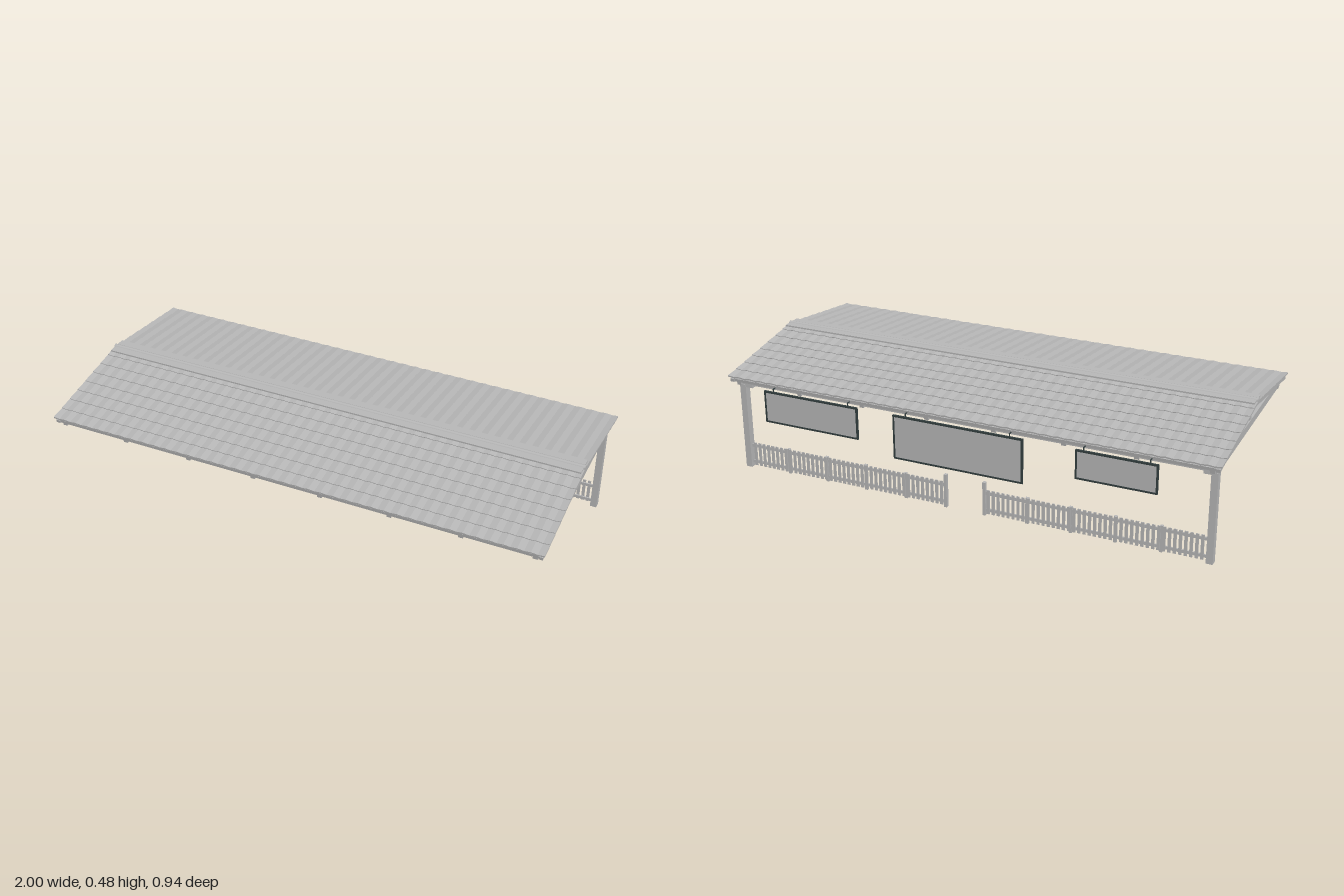
import * as THREE from 'three';

export function createModel() {
  const model = new THREE.Group();
  const mat = (name, color) => {
    const m = new THREE.MeshStandardMaterial({ color });
    m.name = name;
    return m;
  };
  const grey = mat('light grey', 0xb8b8b8);
  const dark = mat('dark frame', 0x333f40);

  const add = (parent, name, geo, x, y, z, material = grey) => {
    const mesh = new THREE.Mesh(geo, material);
    mesh.name = name;
    mesh.position.set(x, y, z);
    parent.add(mesh);
    return mesh;
  };
  const box = (parent, name, w, h, d, x, y, z, material) =>
    add(parent, name, new THREE.BoxGeometry(w, h, d), x, y, z, material);
  const group = (parent, name) => {
    const g = new THREE.Group();
    g.name = name;
    parent.add(g);
    return g;
  };

  const ridgeZ = 0.008, ridgeY = 0.477, pitch = 0.141, slopeLength = 0.466;

  // One course of gently waved tiles, as a cross-section swept down the slope
  const courses = 8, courseLength = slopeLength / courses;
  const tileShape = new THREE.Shape();
  const steps = 160;
  const wave = i => 0.0014 * Math.cos((i / 4) * Math.PI * 2);
  for (let i = 0; i <= steps; i++) {
    const x = -1 + (2 * i) / steps;
    if (i === 0) tileShape.moveTo(x, -0.008 + wave(i));
    else tileShape.lineTo(x, -0.008 + wave(i));
  }
  for (let i = steps; i >= 0; i--) tileShape.lineTo(-1 + (2 * i) / steps, -0.002 + wave(i));
  const tileGeo = new THREE.ExtrudeGeometry(tileShape, { depth: courseLength + 0.002, bevelEnabled: false });

  // Two mirrored roof slopes
  for (const turn of [0, Math.PI]) {
    const side = group(model, turn ? 'backRoof' : 'frontRoof');
    side.position.set(0, ridgeY, ridgeZ);
    side.rotation.y = turn;
    const slope = group(side, 'slope');
    slope.rotation.x = pitch;

    for (let i = 0; i < courses; i++) {
      const course = add(slope, 'tileCourse', tileGeo, 0, -0.003, i * courseLength);
      course.rotation.x = -0.05;
    }
    // Battens, verge boards and eave board below the tiles
    for (let i = 0; i < 7; i++)
      box(slope, 'batten', 1.97, 0.005, 0.01, 0, -0.014, 0.03 + i * 0.069);
    for (const s of [-1, 1])
      box(slope, 'vergeBoard', 0.016, 0.013, slopeLength, s * 0.985, -0.021, slopeLength / 2);
    box(slope, 'eaveBoard', 1.97, 0.012, 0.014, 0, -0.021, 0.455);
    // Rafters
    for (let i = 0; i < 8; i++)
      box(slope, 'rafter', 0.018, 0.018, 0.455, -0.9625 + i * 0.275, -0.035, 0.2275);
    // Ridge flashing
    box(side, 'ridgeFlashing', 1.99, 0.006, 0.034, 0, -0.001, 0.026);
  }

  // Ridge cap and ridge beam
  const cap = add(model, 'ridgeCap', new THREE.CylinderGeometry(0.01, 0.01, 2, 12), 0, 0.474, ridgeZ);
  cap.rotation.z = Math.PI / 2;
  box(model, 'ridgeBeam', 1.95, 0.022, 0.02, 0, 0.452, ridgeZ);

  // Plates along both eaves
  for (const z of [0.412, -0.397])
    box(model, 'wallPlate', 1.96, 0.03, 0.024, 0, 0.377, z);

  // Trusses: tie beam and king post
  for (const x of [-0.965, -0.29, 0.29, 0.965]) {
    box(model, 'tieBeam', 0.024, 0.03, 0.82, x, 0.377, 0.0075);
    box(model, 'kingPost', 0.02, 0.06, 0.02, x, 0.42, ridgeZ);
  }

  // Posts with corbels
  for (const s of [-1, 1]) {
    box(model, 'post', 0.026, 0.362, 0.028, s * 0.965, 0.181, -0.397);
    box(model, 'corbel', 0.03, 0.012, 0.022, s * 0.938, 0.356, -0.397);
  }

  // Picket fence on both sides of the entrance
  for (const s of [-1, 1]) {
    const fence = group(model, s > 0 ? 'leftFence' : 'rightFence');
    const pickets = 42;
    for (let i = 0; i < pickets; i++)
      box(fence, 'picket', 0.012, 0.1, 0.004, s * (0.098 + i * 0.0204), 0.058, -0.401);
    for (const y of [0.022, 0.092])
      box(fence, 'rail', 0.87, 0.012, 0.006, s * 0.517, y, -0.396);
    for (let i = 1; i < 5; i++)
      box(fence, 'fencePost', 0.012, 0.108, 0.01, s * (0.08 + i * 0.175), 0.054, -0.394);
    box(fence, 'gatePost', 0.012, 0.138, 0.014, s * 0.081, 0.069, -0.397);
  }

  // Hanging boards with dark frames: left edge, right edge, bottom
  for (const [x0, x1, y0] of [[-0.78, -0.47, 0.264], [-0.267, 0.263, 0.2], [0.415, 0.827, 0.248]]) {
    const sign = group(model, 'hangingBoard');
    const top = 0.38, z = -0.465, t = 0.007;
    const w = x1 - x0, h = top - y0, cx = (x0 + x1) / 2, cy = (top + y0) / 2;
    box(sign, 'panel', w - t, h - t, 0.005, cx, cy, z);
    for (const s of [-1, 1]) {
      box(sign, 'frameSide', t, h, 0.008, cx + s * (w - t) / 2, cy, z, dark);
      box(sign, 'frameRail', w, t, 0.008, cx, cy + s * (h - t) / 2, z, dark);
      box(sign, 'hanger', 0.004, 0.014, 0.003, cx + s * w * 0.4, 0.386, z, dark);
      box(sign, 'hook', 0.004, 0.003, 0.016, cx + s * w * 0.4, 0.392, z + 0.006, dark);
    }
  }
  return model;
}
